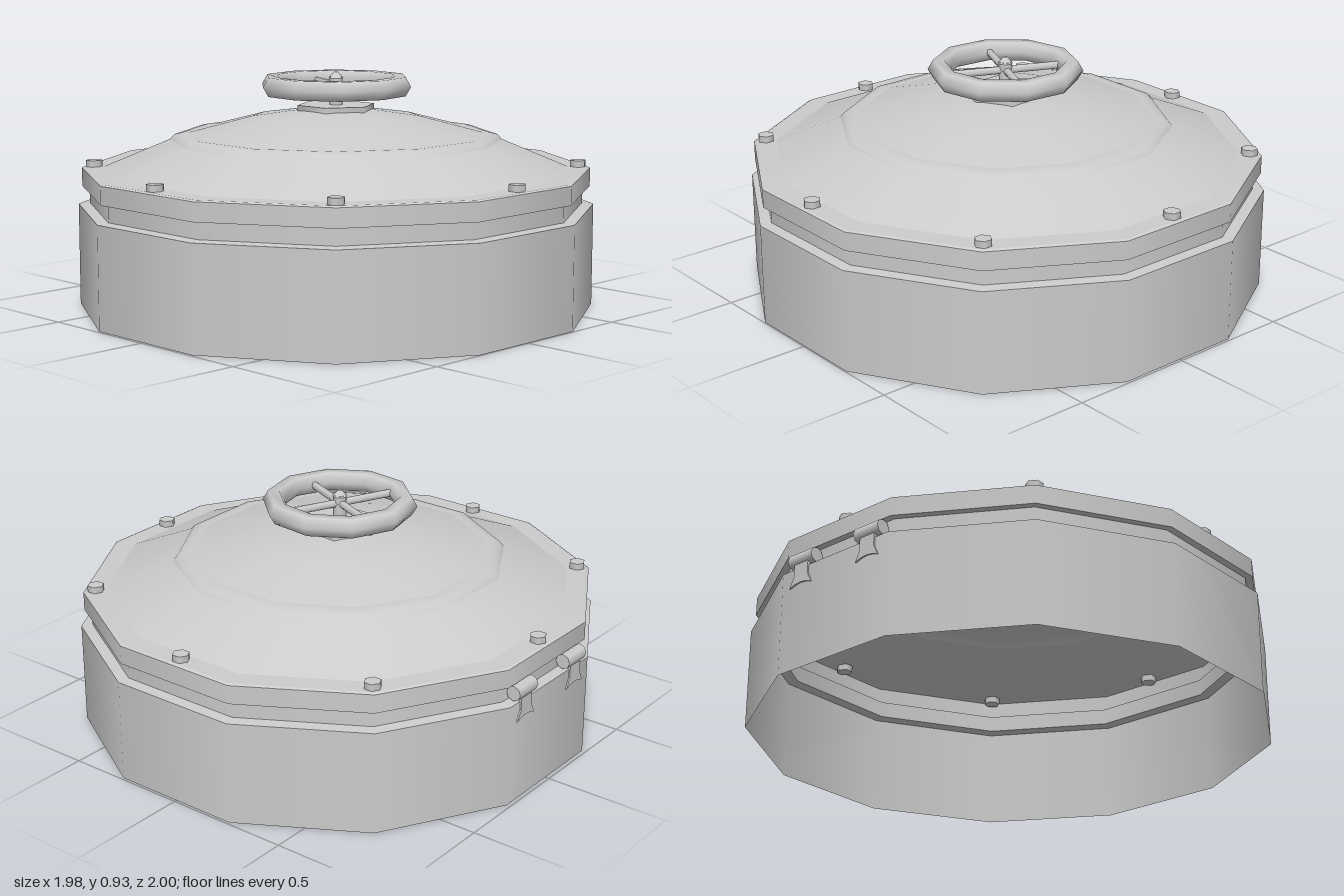
import * as THREE from 'three';

const solid = new THREE.MeshStandardMaterial({ color: 0xcccccc });
const sheet = new THREE.MeshStandardMaterial({ color: 0xcccccc, side: THREE.DoubleSide });
const C = Math.cos(Math.PI / 12); // flat-to-corner ratio of a 12-sided ring

function add(parent, name, geometry, material = solid) {
  const mesh = new THREE.Mesh(geometry, material);
  mesh.name = name;
  parent.add(mesh);
  return mesh;
}

// Twelve-sided sheet from [distance to flat, height] points, smooth inside one band
function band(parent, name, points) {
  const profile = points.map(([r, y]) => new THREE.Vector2(r / C, y));
  return add(parent, name, new THREE.LatheGeometry(profile, 12, Math.PI / 12), sheet);
}

function cylinder(parent, name, r, y0, y1, sides = 6, rTop = r) {
  const mesh = add(parent, name, new THREE.CylinderGeometry(rTop, r, y1 - y0, sides));
  mesh.position.y = (y0 + y1) / 2;
  return mesh;
}

export function createModel() {
  const model = new THREE.Group();
  model.name = 'hatch';
  const hatch = new THREE.Group();
  hatch.name = 'hatchBody';
  hatch.position.z = 0.006;
  model.add(hatch);

  // Open base ring, collar and lid flange
  band(hatch, 'baseWall', [[0.99, 0], [0.99, 0.405]]);
  band(hatch, 'baseLedge', [[0.99, 0.405], [0.947, 0.41]]);
  band(hatch, 'collar', [[0.947, 0.41], [0.947, 0.477]]);
  band(hatch, 'flangeUnderside', [[0.947, 0.477], [0.975, 0.477]]);
  band(hatch, 'flangeWall', [[0.975, 0.477], [0.975, 0.55]]);
  band(hatch, 'flangeBevel', [[0.975, 0.55], [0.965, 0.555]]);
  band(hatch, 'flangeTop', [[0.965, 0.555], [0.888, 0.556]]);

  // Domed lid with a raised ridge
  band(hatch, 'lowerDome', [[0.888, 0.556], [0.635, 0.665]]);
  band(hatch, 'domeRidge', [[0.635, 0.665], [0.618, 0.684], [0.585, 0.692], [0.56, 0.692]]);
  band(hatch, 'upperDome', [[0.56, 0.692], [0.32, 0.757], [0.14, 0.783], [0, 0.788]]);

  // Bolts through the flange, slightly further out at the corners
  for (let i = 0; i < 8; i++) {
    const a = (i * Math.PI) / 4;
    const r = i % 2 ? 0.96 : 0.93;
    const bolt = cylinder(hatch, 'bolt', 0.033, 0.53, 0.581);
    bolt.position.x = r * Math.sin(a);
    bolt.position.z = r * Math.cos(a);
  }

  // Hand wheel on a stem
  cylinder(hatch, 'stemPlate', 0.157, 0.77, 0.803);
  cylinder(hatch, 'stem', 0.026, 0.79, 0.913, 8);
  cylinder(hatch, 'stemTip', 0.03, 0.908, 0.932, 8, 0.008);
  const wheel = new THREE.Group();
  wheel.name = 'handWheel';
  wheel.position.y = 0.879;
  wheel.rotation.y = -THREE.MathUtils.degToRad(24);
  hatch.add(wheel);
  add(wheel, 'wheelRim', new THREE.TorusGeometry(0.261, 0.043, 6, 10).rotateX(Math.PI / 2));
  for (let i = 0; i < 2; i++) {
    const spoke = add(wheel, 'spokes', new THREE.CylinderGeometry(0.015, 0.015, 0.46, 6).rotateZ(Math.PI / 2));
    spoke.rotation.y = (i * Math.PI) / 2;
  }

  // Two hinges at the back, each a barrel with a flared leaf
  const leaf = new THREE.Shape();
  leaf.moveTo(-0.035, 0.44);
  leaf.lineTo(-0.035, 0.37);
  leaf.lineTo(-0.055, 0.33);
  leaf.quadraticCurveTo(0, 0.355, 0.055, 0.33);
  leaf.lineTo(0.035, 0.37);
  leaf.lineTo(0.035, 0.44);
  for (const x of [-0.167, 0.167]) {
    const hinge = new THREE.Group();
    hinge.name = 'hinge';
    hinge.position.set(x, 0, -0.976);
    hatch.add(hinge);
    const barrel = add(hinge, 'hingeBarrel', new THREE.CylinderGeometry(0.03, 0.03, 0.12, 8).rotateZ(Math.PI / 2));
    barrel.position.y = 0.442;
    const plate = add(hinge, 'hingeLeaf', new THREE.ExtrudeGeometry(leaf, { depth: 0.015, bevelEnabled: false, curveSegments: 4 }));
    plate.position.z = -0.02;
  }
  return model;
}
